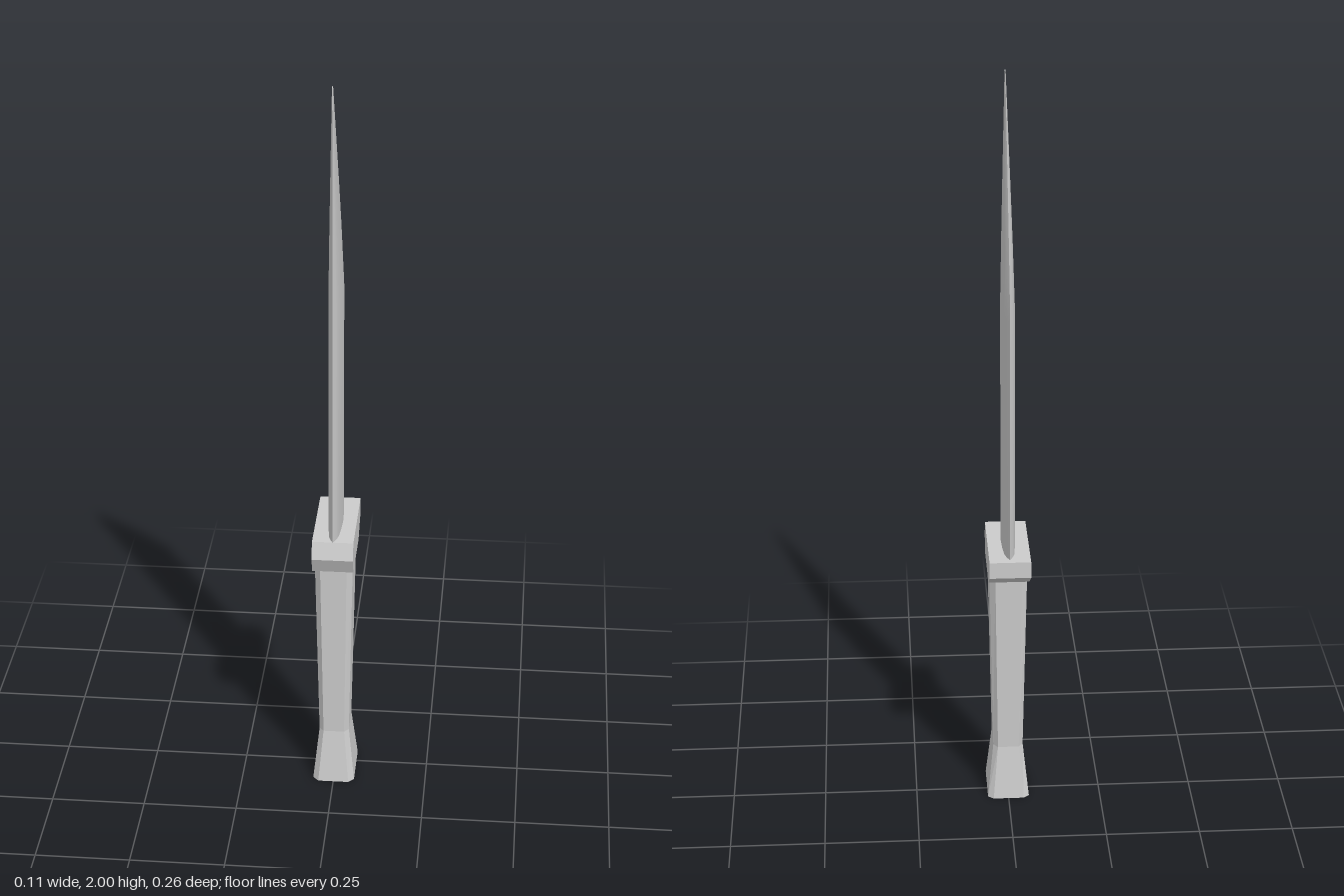
import * as THREE from 'three';

const material = (flatShading) => new THREE.MeshStandardMaterial({ color: 0xcccccc, flatShading });

// Skin closed rings of [x, y, z] (counter-clockwise from above, bottom to top), with capped ends
function loft(rings) {
  const n = rings[0].length;
  const pos = rings.flat(2);
  const index = [];
  for (let r = 0; r < rings.length - 1; r++) {
    for (let i = 0; i < n; i++) {
      const j = (i + 1) % n;
      const a = r * n + i, b = r * n + j;
      index.push(a, b, b + n, a, b + n, a + n);
    }
  }
  const cap = (ring, up) => {
    const base = pos.length / 3;
    pos.push(...ring.flat());
    for (let i = 1; i < n - 1; i++) {
      index.push(base, base + (up ? i : i + 1), base + (up ? i + 1 : i));
    }
  };
  cap(rings[0], false);
  cap(rings[rings.length - 1], true);
  const geometry = new THREE.BufferGeometry();
  geometry.setAttribute('position', new THREE.Float32BufferAttribute(pos, 3));
  geometry.setIndex(index);
  geometry.computeVertexNormals();
  return geometry;
}

// Lens section of the blade; end points are doubled so both edges stay sharp
function bladeRing([y, front, back]) {
  const half = [[0, 0], [0.07, 0.42], [0.14, 0.7], [0.3, 0.9], [0.5, 1],
    [0.7, 0.9], [0.86, 0.7], [0.93, 0.42], [1, 0]];
  const length = front - back;
  const thick = 0.018 * length / 0.23;
  const side = half.map(([t, w]) => [w * thick, y, front - t * length]);
  const other = side.map(([x, h, z]) => [-x, h, z]).reverse();
  return [...side, ...other];
}

// Rectangular grip section with chamfered corners
function gripRing([y, x, xIn, front, frontIn, backIn, back]) {
  return [[x, frontIn], [x, backIn], [xIn, back], [-xIn, back],
    [-x, backIn], [-x, frontIn], [-xIn, front], [xIn, front]].map(([px, pz]) => [px, y, pz]);
}

export function createModel() {
  const group = new THREE.Group();
  const add = (name, geometry, flat) => {
    const mesh = new THREE.Mesh(geometry, material(flat));
    mesh.name = name;
    group.add(mesh);
  };

  // Blade: straight spine at the front, clipped toward the tip at the back
  add('blade', loft([
    [0.74, 0.115, -0.115],
    [1.42, 0.115, -0.115],
    [1.595, 0.115, -0.06],
    [1.73, 0.115, -0.01],
    [2, 0.115, 0.098],
  ].map(bladeRing)), false);

  // Guard: side profile extruded across the width
  const profile = new THREE.Shape([
    [0.11, 0.67], [-0.065, 0.67], [-0.13, 0.715], [-0.13, 0.76], [0.114, 0.76], [0.13, 0.715],
  ].map(([z, y]) => new THREE.Vector2(z, y)));
  const guard = new THREE.ExtrudeGeometry(profile, { depth: 0.108, bevelEnabled: false });
  guard.translate(0, 0, -0.054).rotateY(-Math.PI / 2);
  add('guard', guard, true);

  // Grip: narrow waist above a flared pommel
  add('grip', loft([
    [0, 0.056, 0.041, 0.104, 0.088, -0.044, -0.056],
    [0.15, 0.04, 0.028, 0.082, 0.068, -0.018, -0.034],
    [0.68, 0.05, 0.035, 0.096, 0.08, -0.033, -0.049],
  ].map(gripRing)), true);

  return group;
}
